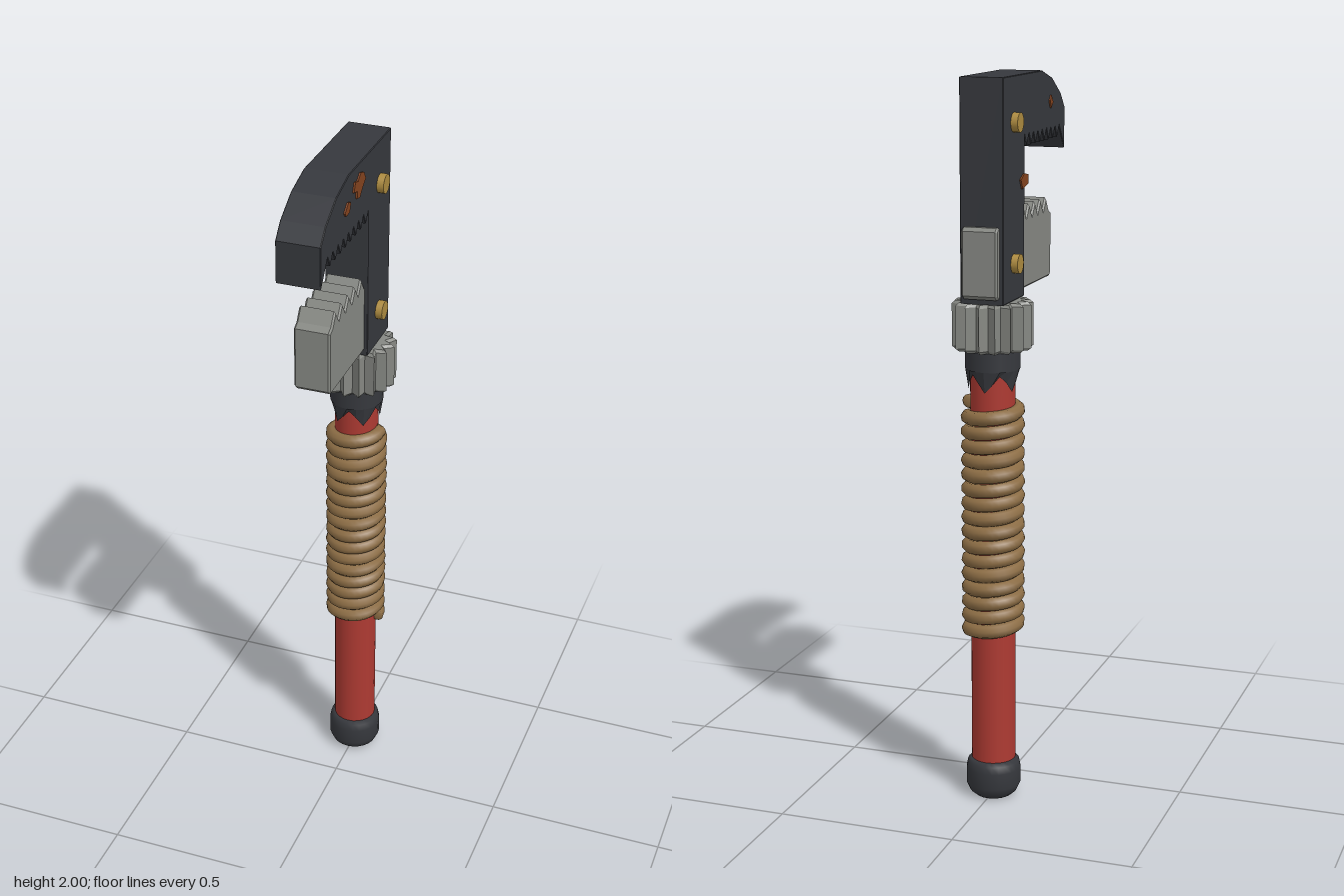
import * as THREE from 'three';

const mat = (color, extra = {}) => new THREE.MeshStandardMaterial({ color, ...extra });
const AXIS_Z = -0.165;

export function createModel() {
  const group = new THREE.Group();
  const iron = mat(0x36383d), ironFlat = mat(0x36383d, { flatShading: true, side: THREE.DoubleSide });
  const steel = mat(0x868883), red = mat(0xad3a32), brass = mat(0xad8b40);
  const rope = mat(0x8c6d45), rust = mat(0x84431f);

  const add = (name, geometry, material, x = 0, y = 0, z = 0) => {
    const mesh = new THREE.Mesh(geometry, material);
    mesh.name = name;
    mesh.position.set(x, y, z);
    group.add(mesh);
    return mesh;
  };

  // Extrudes a (z, y) outline sideways, centred on x = 0
  const slab = (points, width, bevel = 0.005) => {
    const shape = new THREE.Shape(points.map(([z, y]) => new THREE.Vector2(z, y)));
    const geo = new THREE.ExtrudeGeometry(shape, {
      depth: width - 2 * bevel, bevelEnabled: bevel > 0, bevelSize: bevel,
      bevelThickness: bevel, bevelOffset: -bevel, bevelSegments: 1,
    });
    geo.translate(0, 0, -(width - 2 * bevel) / 2);
    return geo.rotateY(-Math.PI / 2);
  };

  // Zigzag of teeth from z0 to z1
  const teeth = (z0, z1, count, base, tip) => {
    const pts = [];
    for (let i = 0; i < count; i++) {
      const step = (z1 - z0) / count;
      pts.push([z0 + i * step, base], [z0 + (i + 0.5) * step, tip]);
    }
    pts.push([z1, base]);
    return pts;
  };

  // Shank and hooked upper jaw in one piece
  add('upperJaw', slab([
    [-0.25, 1.41], [-0.25, 2], [0.07, 2], [0.16, 1.975], [0.235, 1.93], [0.27, 1.89], [0.27, 1.775],
    ...teeth(0.222, -0.078, 8, 1.842, 1.81), [-0.08, 1.41],
  ], 0.12, 0.002), iron);

  // Sliding lower jaw, passing through the shank
  add('lowerJaw', slab([
    [0.172, 1.425], [-0.262, 1.425], [-0.272, 1.435], [-0.272, 1.605], [-0.262, 1.615],
    ...teeth(-0.08, 0.162, 5, 1.615, 1.65), [0.182, 1.605], [0.182, 1.435],
  ], 0.1), steel);

  // Brass pins through the shank
  for (const y of [1.88, 1.51]) {
    add('pin', new THREE.CylinderGeometry(0.026, 0.026, 0.158, 16).rotateZ(Math.PI / 2), brass, 0, y, AXIS_Z);
  }

  // Toothed adjusting nut
  const star = [];
  for (let i = 0; i < 32; i++) {
    const a = (i / 32) * Math.PI * 2, r = i % 2 ? 0.086 : 0.109;
    star.push(new THREE.Vector2(Math.cos(a) * r, Math.sin(a) * r));
  }
  const nut = new THREE.ExtrudeGeometry(new THREE.Shape(star), {
    depth: 0.116, bevelSize: 0.007, bevelThickness: 0.008, bevelOffset: -0.007, bevelSegments: 1,
  });
  add('adjustingNut', nut.rotateX(-Math.PI / 2), steel, 0, 1.286, AXIS_Z);

  // Collar with a jagged lower edge
  add('collar', new THREE.CylinderGeometry(0.075, 0.075, 0.06, 20), iron, 0, 1.255, AXIS_Z);
  const skirt = new THREE.CylinderGeometry(0.075, 0.065, 0.05, 20, 1, true);
  const p = skirt.attributes.position;
  const drops = [0, 0.018, 0.042, 0.022];
  for (let i = 0; i < p.count; i++) {
    if (p.getY(i) < 0) p.setY(i, 0.008 - drops[(i % 21) % 4] * 1.1);
  }
  add('collarSkirt', skirt, ironFlat, 0, 1.205, AXIS_Z);

  // Handle tube and rounded end cap
  add('handle', new THREE.CylinderGeometry(0.061, 0.061, 1.14, 24), red, 0, 0.66, AXIS_Z);
  const cap = [[0, 0], [0.052, 0], [0.066, 0.012], [0.076, 0.034], [0.076, 0.08], [0.072, 0.1], [0.063, 0.11], [0, 0.11]];
  add('endCap', new THREE.LatheGeometry(cap.map(([r, y]) => new THREE.Vector2(r, y)), 24), iron, 0, 0, AXIS_Z);

  // Rope wound around the grip
  class Helix extends THREE.Curve {
    getPoint(t, target = new THREE.Vector3()) {
      const a = t * 16 * Math.PI * 2;
      return target.set(Math.cos(a) * 0.068, 0.488 + t * 0.64, -Math.sin(a) * 0.068);
    }
  }
  const helix = new Helix();
  helix.arcLengthDivisions = 800;
  add('ropeWrap', new THREE.TubeGeometry(helix, 480, 0.0195, 8), rope, 0, 0, AXIS_Z);
  for (const t of [0, 1]) {
    const end = helix.getPoint(t);
    add('ropeEnd', new THREE.SphereGeometry(0.0195, 8, 6).scale(1, 1, 0.3), rope, end.x, end.y, end.z + AXIS_Z);
  }

  // Rust flakes on both cheeks
  const flakes = [
    [1, [[0.045, 1.94], [0.035, 1.965], [0.015, 1.96], [-0.005, 1.975], [-0.03, 1.967], [-0.043, 1.945], [-0.02, 1.93], [0, 1.91], [0.022, 1.915], [0.02, 1.935]]],
    [1, [[0.11, 1.912], [0.085, 1.932], [0.067, 1.925], [0.075, 1.902], [0.1, 1.9]]],
    [-1, [[-0.06, 1.735], [-0.09, 1.74], [-0.12, 1.725], [-0.105, 1.7], [-0.06, 1.71]]],
    [-1, [[0.155, 1.91], [0.14, 1.93], [0.128, 1.915], [0.138, 1.895]]],
  ];
  for (const [side, outline] of flakes) add('rustPatch', slab(outline, 0.01, 0), rust, side * 0.0595);

  return group;
}
